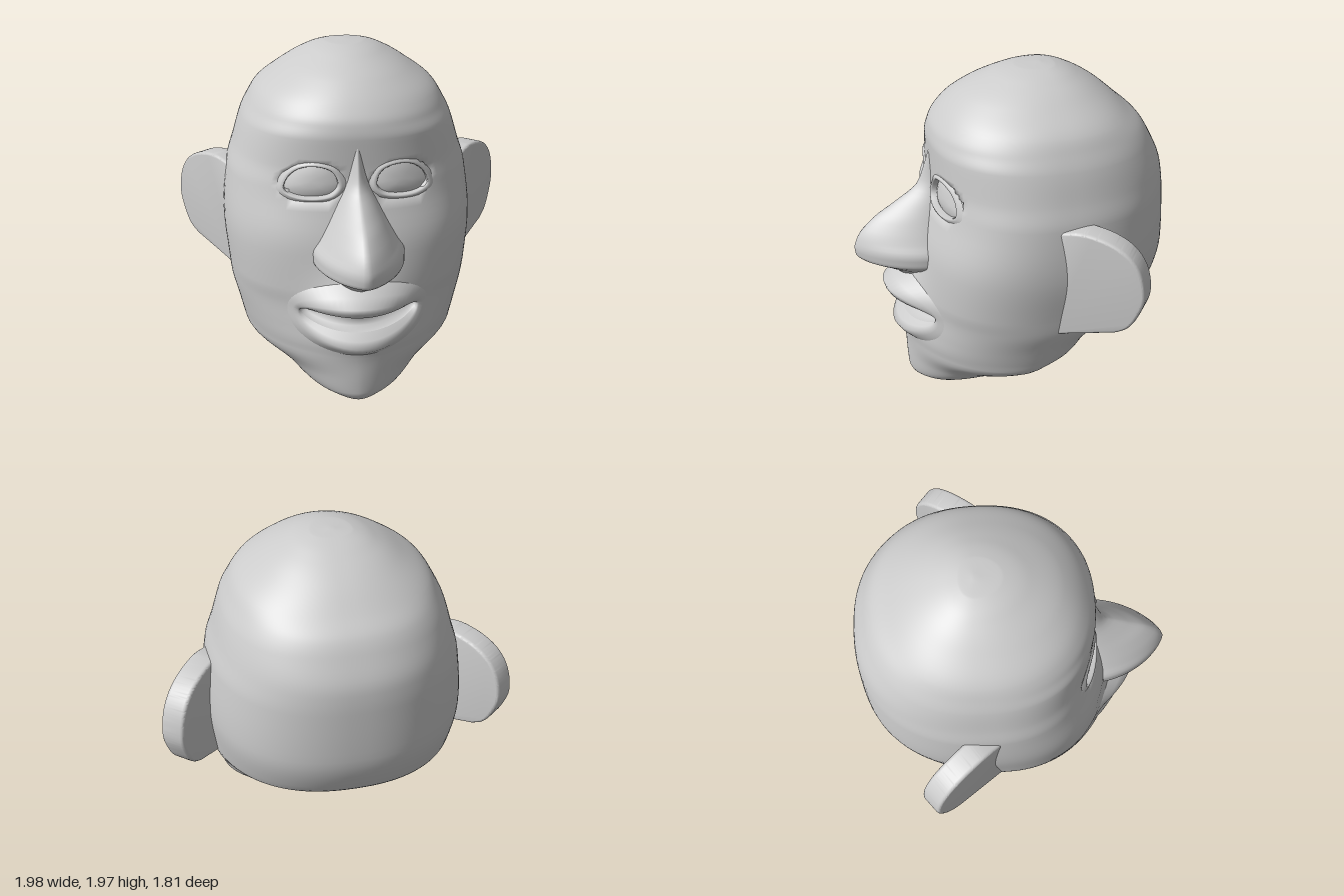
import * as THREE from 'three';
import { mergeVertices, toCreasedNormals } from 'three/addons/utils/BufferGeometryUtils.js';

const material = new THREE.MeshStandardMaterial({ color: 0xcccccc });

// Skull sections: y, half width, front z, z of widest point, back z, front roundness
const SKULL = [
  [0.00, 0.00, 0.52, 0.52, 0.52, 1.8], [0.04, 0.13, 0.61, 0.48, 0.34, 1.8],
  [0.09, 0.26, 0.63, 0.40, 0.21, 1.8], [0.20, 0.42, 0.635, 0.22, 0.03, 1.8],
  [0.33, 0.62, 0.63, 0.04, -0.19, 1.85], [0.39, 0.64, 0.625, 0.00, -0.38, 1.95],
  [0.49, 0.665, 0.60, -0.03, -0.47, 2.1], [0.62, 0.70, 0.575, -0.08, -0.67, 2.25],
  [0.72, 0.71, 0.57, -0.10, -0.83, 2.4], [0.97, 0.73, 0.55, -0.14, -0.895, 2.5],
  [1.27, 0.70, 0.475, -0.14, -0.885, 2.35], [1.40, 0.66, 0.46, -0.15, -0.87, 2.3],
  [1.56, 0.61, 0.46, -0.16, -0.80, 2.3], [1.64, 0.57, 0.445, -0.16, -0.75, 2.2],
  [1.72, 0.52, 0.395, -0.17, -0.66, 2.2], [1.83, 0.38, 0.28, -0.17, -0.53, 2.1],
  [1.91, 0.25, 0.13, -0.18, -0.40, 2], [1.96, 0.12, -0.03, -0.18, -0.27, 2],
  [1.97, 0.00, -0.18, -0.18, -0.18, 2],
];

// Nose sections: y, ridge z, half width
const NOSE = [
  [0.76, 0.66, 0.08], [0.80, 0.71, 0.13], [0.86, 0.82, 0.22], [0.90, 0.905, 0.255],
  [0.95, 0.912, 0.255], [1.02, 0.89, 0.215], [1.12, 0.80, 0.16], [1.20, 0.68, 0.12],
  [1.31, 0.535, 0.07], [1.42, 0.49, 0.04], [1.55, 0.45, 0.02],
];

// Smooth interpolation through a table of sections, without overshoot
function sample(table, y) {
  const last = table.length - 1;
  let i = 0;
  while (i < last - 1 && y > table[i + 1][0]) i++;
  const h = table[i + 1][0] - table[i][0];
  const t = THREE.MathUtils.clamp((y - table[i][0]) / h, 0, 1);
  return table[i].map((a, k) => {
    const slope = j => (table[j + 1][k] - table[j][k]) / (table[j + 1][0] - table[j][0]);
    const tangent = j => {
      if (j === 0) return slope(0);
      if (j === last) return slope(last - 1);
      const p = slope(j - 1), q = slope(j);
      return p * q > 0 ? 2 * p * q / (p + q) : 0;
    };
    const b = table[i + 1][k], t2 = t * t, t3 = t2 * t;
    return a * (2 * t3 - 3 * t2 + 1) + b * (3 * t2 - 2 * t3)
      + h * (tangent(i) * (t3 - 2 * t2 + t) + tangent(i + 1) * (t3 - t2));
  });
}

// Heights covering every table interval evenly
function heights(table, steps) {
  const ys = [table[0][0]];
  for (let i = 1; i < table.length; i++)
    for (let s = 1; s <= steps; s++)
      ys.push(THREE.MathUtils.lerp(table[i - 1][0], table[i][0], s / steps));
  return ys;
}

// Fuller area around the mouth
const muzzle = (x, y) => 0.11 * Math.exp(-((x / 0.22) ** 2) - ((y - 0.62) / 0.2) ** 2);

// Front surface of the face
function faceZ(x, y) {
  const [, w, zf, zc, , n] = sample(SKULL, y);
  const r = Math.min(1, Math.abs(x) / w);
  return zc + (zf - zc) * (1 - r ** n) ** (1 / n) + muzzle(x, y);
}

// Hollow behind the eyes and mouth
function hollow(x, y) {
  const pit = (cx, cy, rx, ry) =>
    1 - THREE.MathUtils.smoothstep(Math.hypot((x - cx) / rx, (y - cy) / ry), 0.85, 1.1);
  return 0.07 * pit(0.25, 1.325, 0.15, 0.085) + 0.07 * pit(-0.25, 1.325, 0.15, 0.085)
    + 0.2 * pit(0, 0.575, 0.32, 0.12);
}

// Skin over rows of points
function loft(rows, closed) {
  const n = rows[0].length, index = [];
  for (let r = 0; r < rows.length - 1; r++)
    for (let c = 0; c < (closed ? n : n - 1); c++) {
      const d = (c + 1) % n, a = r * n;
      index.push(a + c, a + d, a + n + d, a + c, a + n + d, a + n + c);
    }
  let g = new THREE.BufferGeometry().setFromPoints(rows.flat());
  g.setIndex(index);
  g = mergeVertices(g, 1e-5);
  g.computeVertexNormals();
  return g;
}

// Copy of a geometry on the other side of the head
function mirrored(geometry) {
  const g = geometry.clone().scale(-1, 1, 1);
  const order = g.index ? [...g.index.array] : [...Array(g.attributes.position.count).keys()];
  g.setIndex(order.reverse());
  return g;
}

function skullGeometry() {
  return loft(heights(SKULL, 6).map(y => {
    const [, w, zf, zc, zb, n] = sample(SKULL, y);
    return Array.from({ length: 112 }, (_, i) => {
      const t = i / 112 * Math.PI * 2, s = Math.sin(t), c = Math.cos(t);
      const front = c > 0, p = 2 / (front ? n : 2.3);
      const x = w * Math.sign(s) * Math.abs(s) ** p;
      let z = zc + (front ? zf - zc : zb - zc) * Math.abs(c) ** p;
      if (front) z += (muzzle(x, y) - hollow(x, y)) * Math.min(1, c * 4) * Math.min(1, w / 0.2);
      return new THREE.Vector3(x, y, z);
    });
  }), true);
}

function noseGeometry() {
  return loft(heights(NOSE, 4).map(y => {
    const [, ridge, w] = sample(NOSE, y);
    return Array.from({ length: 33 }, (_, i) => {
      const u = Math.sin((i / 32 - 0.5) * Math.PI), x = w * u;
      const base = faceZ(x, y) - 0.03;
      const rise = Math.max(0, 1 - Math.abs(u) ** 1.4) ** 0.6;
      return new THREE.Vector3(x, y, base + (ridge - base) * rise);
    });
  }), false);
}

// Loop round the mouth: half width, top y, bottom y, top z, bottom z, corner z
function mouthLoop([w, top, bottom, zTop, zBottom, zCorner], middle = 0.6) {
  return Array.from({ length: 64 }, (_, i) => {
    const a = i / 64 * Math.PI * 2, s = Math.sin(a), x = w * Math.cos(a);
    const y = middle + (s > 0 ? top - middle : middle - bottom) * s;
    const z = zTop === undefined ? faceZ(x, y) - 0.006
      : zCorner + ((s > 0 ? zTop : zBottom) - zCorner) * s * s;
    return new THREE.Vector3(x, y, z);
  });
}

// Rings round the eye: scale of the outline and offset from the face
function eyeGeometry(rings) {
  const outline = new THREE.CatmullRomCurve3([
    [0.105, 1.31], [0.14, 1.265], [0.22, 1.245], [0.34, 1.25],
    [0.395, 1.28], [0.375, 1.345], [0.31, 1.4], [0.22, 1.415], [0.135, 1.385],
  ].map(([x, y]) => new THREE.Vector3(x, y, 0)), true).getPoints(48).slice(0, -1);
  return loft(rings.map(([scale, lift]) => outline.map(p => {
    const x = 0.25 + (p.x - 0.25) * scale, y = 1.325 + (p.y - 1.325) * scale;
    return new THREE.Vector3(x, y, faceZ(x, y) + lift);
  })), true);
}

// Thick flap swept backwards from the side of the head
function earGeometry() {
  const shape = new THREE.Shape();
  shape.moveTo(-0.06, 0.60);
  shape.lineTo(0.03, 0.63);
  shape.lineTo(0.32, 0.715);
  shape.splineThru([[0.39, 0.76], [0.44, 0.84], [0.475, 0.96], [0.45, 1.10], [0.38, 1.20],
    [0.27, 1.26], [0.13, 1.285], [0.02, 1.27]].map(p => new THREE.Vector2(...p)));
  shape.lineTo(-0.06, 1.25);
  const g = new THREE.ExtrudeGeometry(shape, {
    depth: 0.1, curveSegments: 16, bevelSize: 0.015, bevelThickness: 0.02, bevelOffset: -0.015, bevelSegments: 3,
  });
  g.translate(0, 0, -0.12).rotateY(0.89).translate(0.70, 0, -0.09);
  return toCreasedNormals(g, 0.8);
}

export function createModel() {
  const model = new THREE.Group();
  model.name = 'head';
  const add = (name, geometry) => {
    const mesh = new THREE.Mesh(geometry, material);
    mesh.name = name;
    model.add(mesh);
  };
  const addPair = (name, geometry) => {
    add('left' + name, geometry);
    add('right' + name, mirrored(geometry));
  };

  add('skull', skullGeometry());
  add('nose', noseGeometry());

  // Lips, and the inside of the open mouth
  const lipEdge = [0.325, 0.64, 0.50, 0.735, 0.645, 0.51];
  add('lips', loft([
    [0.42, 0.80, 0.35],
    [0.37, 0.745, 0.39, 0.70, 0.685, 0.515],
    [0.345, 0.70, 0.425, 0.76, 0.71, 0.525],
    [0.335, 0.665, 0.46, 0.75, 0.685, 0.525],
    lipEdge,
  ].map(l => mouthLoop(l)), true));
  add('mouthInside', loft([
    mouthLoop(lipEdge),
    mouthLoop([0.30, 0.635, 0.515, 0.63, 0.59, 0.48]),
    mouthLoop([0, 0.575, 0.575, 0.60, 0.60, 0.60], 0.575),
  ], true));

  // Eyes and ears
  addPair('Eyelids', eyeGeometry([[1.3, -0.004], [1.15, 0.008], [1.05, 0.012], [1, 0.004], [0.98, -0.025]]));
  addPair('Eyeball', eyeGeometry([[1, -0.025], [0.75, -0.014], [0.4, -0.008], [0, -0.006]]));
  addPair('Ear', earGeometry());
  return model;
}
